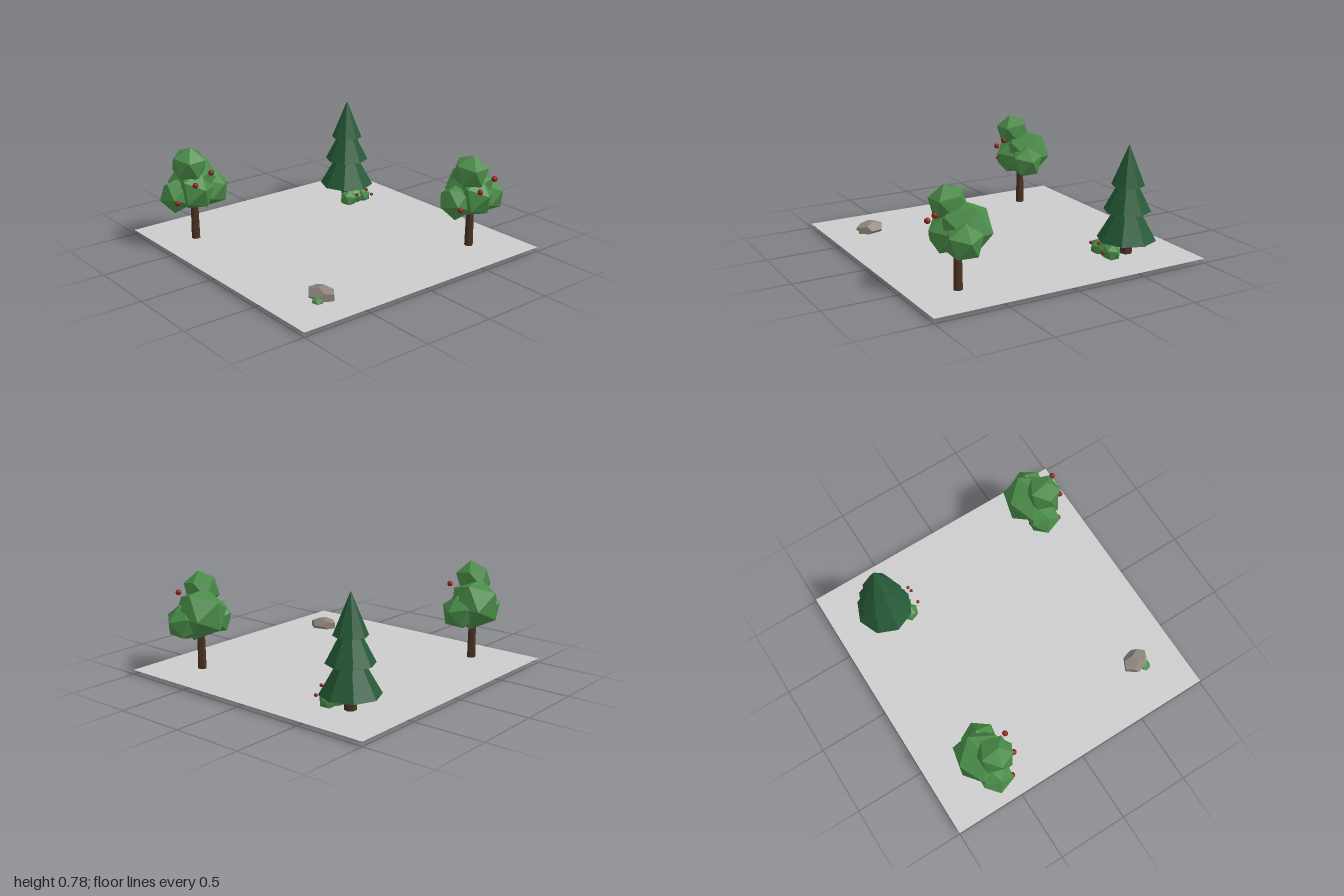
import * as THREE from 'three';

const mat = (name, color, extra = {}) => {
  const m = new THREE.MeshStandardMaterial({ color, flatShading: true, ...extra });
  m.name = name;
  return m;
};

export function createModel() {
  const groundGrey = mat('ground grey', 0xcccccc, { side: THREE.DoubleSide });
  const leafGreen = mat('leaf green', 0x4a8c48);
  const pineGreen = mat('pine green', 0x265a38);
  const barkBrown = mat('bark brown', 0x4a3222);
  const stoneGrey = mat('stone grey', 0x8c847c);
  const fruitRed = mat('fruit red', 0x8e1f1f);

  const GROUND = 0.03;
  const model = new THREE.Group();
  model.name = 'woodlandPlot';

  function add(parent, name, geometry, material, pos, rot = [0, 0, 0], scale = [1, 1, 1]) {
    const mesh = new THREE.Mesh(geometry, material);
    mesh.name = name;
    mesh.position.set(...pos);
    mesh.rotation.set(...rot);
    mesh.scale.set(...scale);
    parent.add(mesh);
    return mesh;
  }
  function group(name, x, z) {
    const g = new THREE.Group();
    g.name = name;
    g.position.set(x, 0, z);
    model.add(g);
    return g;
  }
  const blob = (parent, name, r, pos, rot, scale) =>
    add(parent, name, new THREE.IcosahedronGeometry(r, 0), leafGreen, pos, rot, scale);
  const fruit = (parent, name, r, pos) =>
    add(parent, name, new THREE.IcosahedronGeometry(r, 1), fruitRed, pos);
  function trunk(parent, top, r) {
    const h = top - GROUND;
    add(parent, 'trunk', new THREE.CylinderGeometry(r * 0.85, r, h, 7), barkBrown, [0, GROUND + h / 2, 0]);
  }

  // Flat ground sheet
  add(model, 'ground', new THREE.PlaneGeometry(2, 2), groundGrey, [0, GROUND, 0], [-Math.PI / 2, 0, 0]);

  // Fruit trees: faceted crowns on thin trunks
  function fruitTree(name, x, z, lift) {
    const tree = group(name, x, z);
    trunk(tree, 0.36, 0.03);
    const crown = [
      ['crownBack', 0.185, [0.03, 0.43, -0.035], [0, 0.15, -0.1]],
      ['crownFront', 0.145, [-0.02, 0.4, 0.045], [0.3, 0.2, 0.3]],
      ['crownTop', 0.128, [-0.05, 0.575 + lift, 0.035], [0.2, 0.4, -0.55]],
      ['crownLeft', 0.13, [0.125, 0.38, 0.025], [0.2, 0.5, 0.2]],
      ['crownRight', 0.125, [-0.125, 0.37, -0.01], [-0.2, 0.3, 0.15]],
    ];
    for (const [part, r, pos, rot] of crown) blob(tree, part, r, pos, rot);
    for (const pos of [[0.04, 0.545, 0.17], [-0.08, 0.475, 0.16], [-0.18, 0.35, 0.085]]) {
      fruit(tree, 'fruit', 0.02, pos);
    }
  }
  fruitTree('fruitTreeBack', -0.73, -0.61, 0.012);
  fruitTree('fruitTreeFront', 0.667, 0.67, 0);

  // Conifer: three stacked eight-sided cones
  const conifer = group('conifer', 0.64, -0.62);
  trunk(conifer, 0.2, 0.042);
  for (const [base, top, r] of [[0.13, 0.48, 0.2], [0.33, 0.64, 0.16], [0.505, 0.78, 0.112]]) {
    add(conifer, 'coniferTier', new THREE.ConeGeometry(r, top - base, 8), pineGreen, [0, (base + top) / 2, 0]);
  }

  // Berry bush in front of the conifer
  const bush = group('berryBush', 0.61, -0.475);
  blob(bush, 'bushRight', 0.066, [-0.07, 0.065, 0], [0.2, 0.4, 0.4]);
  blob(bush, 'bushMiddle', 0.07, [0, 0.068, -0.015], [0.4, 0.1, 0.2]);
  blob(bush, 'bushLeft', 0.064, [0.067, 0.066, 0], [0.1, 0.7, 0.3]);
  for (const pos of [[-0.054, 0.115, 0.083], [0.037, 0.137, 0.083], [0.09, 0.086, 0.083]]) {
    fruit(bush, 'berry', 0.012, pos);
  }

  // Low boulder with a small moss clump
  const boulder = group('boulder', -0.635, 0.69);
  add(boulder, 'stone', new THREE.DodecahedronGeometry(1, 0), stoneGrey, [0, 0.052, 0], [0, 0.25, 0], [0.08, 0.056, 0.108]);
  blob(boulder, 'moss', 0.042, [-0.06, 0.037, 0.045], [0.2, 0.3, 0.1], [1, 0.6, 1]);

  return model;
}
